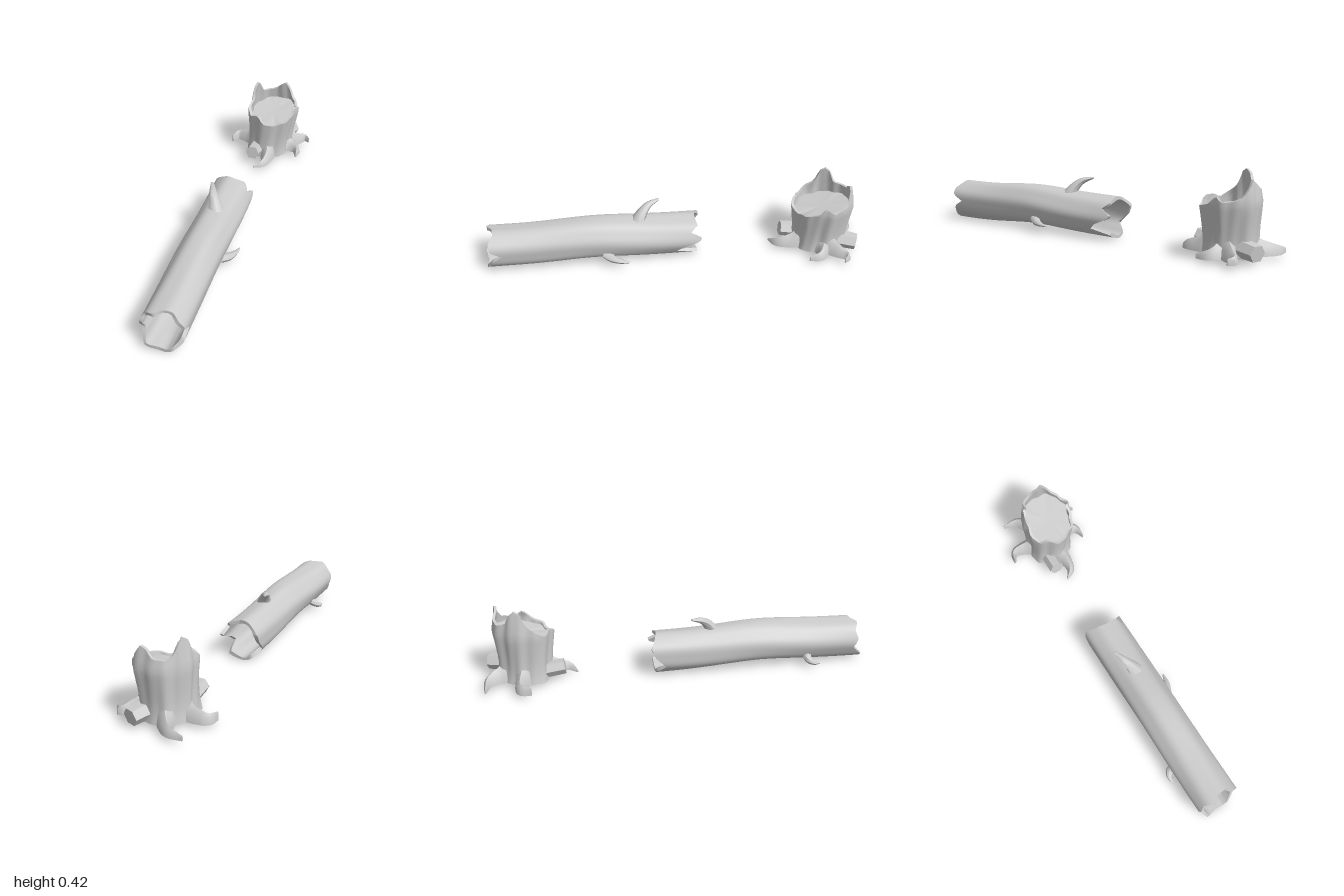
import * as THREE from 'three';
import { toCreasedNormals } from 'three/addons/utils/BufferGeometryUtils.js';

const TAU = Math.PI * 2;
const GROUND = 0.02;
const material = new THREE.MeshStandardMaterial({ color: 0xcccccc, side: THREE.DoubleSide });
const lerp = THREE.MathUtils.lerp;

function part(name, geometry, crease = 0.8) {
  const mesh = new THREE.Mesh(toCreasedNormals(geometry, crease), material);
  mesh.name = name;
  return mesh;
}

// Reads a wrapped [degrees, value] list at angle a (radians)
function around(list, a) {
  const d = ((a / TAU) * 360 + 360) % 360;
  let i = list.findIndex((p) => p[0] > d);
  if (i < 0) i = list.length;
  const p = i > 0 ? list[i - 1] : [list.at(-1)[0] - 360, list.at(-1)[1]];
  const q = i < list.length ? list[i] : [list[0][0] + 360, list[0][1]];
  return lerp(p[1], q[1], (d - p[0]) / (q[0] - p[0]));
}

// Reads an evenly spaced list at t in 0..1
function along(list, t) {
  const f = t * (list.length - 1);
  const i = Math.min(Math.floor(f), list.length - 2);
  return lerp(list[i], list[i + 1], f - i);
}

// Closed-around surface: one ring of points per row
function rings(sides, rows, point) {
  const pos = [], index = [];
  for (let r = 0; r < rows; r++)
    for (let s = 0; s < sides; s++) pos.push(...point((s / sides) * TAU, r));
  for (let r = 0; r < rows - 1; r++)
    for (let s = 0; s < sides; s++) {
      const n = (s + 1) % sides;
      const a = r * sides + s, b = r * sides + n, c = a + sides, d = b + sides;
      index.push(a, c, b, b, c, d);
    }
  const g = new THREE.BufferGeometry();
  g.setAttribute('position', new THREE.Float32BufferAttribute(pos, 3));
  g.setIndex(index);
  return g;
}

// Tapered limb along a curve with separate widths and heights and a closed end
function limb(points, widths, heights, { sides = 8, floor = 0, seg = 12 } = {}) {
  const curve = new THREE.CatmullRomCurve3(points.map((p) => new THREE.Vector3(...p)));
  const frames = curve.computeFrenetFrames(seg, false);
  const up = new THREE.Vector3(0, 1, 0);
  return rings(sides, seg + 2, (a, r) => {
    const k = Math.min(r, seg), t = k / seg;
    const c = curve.getPointAt(t);
    const side = new THREE.Vector3().crossVectors(frames.tangents[k], up).normalize();
    const rise = new THREE.Vector3().crossVectors(side, frames.tangents[k]);
    const size = r > seg ? 0 : 1;
    c.addScaledVector(side, -Math.cos(a) * along(widths, t) * size);
    c.addScaledVector(rise, Math.sin(a) * along(heights, t) * size);
    return [c.x, Math.max(c.y, floor), c.z];
  });
}

// Hollow log: outer wall, broken ends and inner wall in one closed loop
function hollowLog() {
  const front = [[0, 0.9], [18, 0.96], [40, 0.965], [65, 0.94], [90, 0.945], [112, 0.975],
    [140, 0.95], [165, 0.965], [190, 0.94], [225, 0.995], [265, 0.98], [300, 0.985], [325, 0.965], [345, 0.95]];
  const back = [[5, -0.13], [14, -0.14], [30, -0.08], [50, -0.12], [85, -0.11], [115, -0.12],
    [148, -0.145], [175, -0.125], [205, -0.07], [235, -0.115], [275, -0.12], [310, -0.12], [328, -0.01], [345, -0.04]];
  const n = 18;
  return rings(56, 2 * n + 3, (a, r) => {
    const inner = r > n && r < 2 * n + 2;
    const v = r <= n ? r / n : inner ? (2 * n + 1 - r) / n : 0;
    const z = lerp(around(front, a), around(back, a), v);
    const bump = Math.exp(-(((z - 0.43) / 0.24) ** 2));
    const wave = 0.0025 * Math.cos(3 * a + 5 * z) + 0.002 * Math.cos(7 * a - 3 * z);
    const rad = 0.109 + wave - (inner ? 0.017 + 0.003 * Math.cos(5 * a + 9 * z) : 0);
    return [-0.037 + 1.01 * rad * Math.cos(a), 0.112 + 0.018 * bump + rad * Math.sin(a), z];
  });
}

// Stump: base, fluted wall, splintered rim, inner wall and tilted cut face
function stumpBody() {
  const rim = [[0, 0.31], [8, 0.305], [20, 0.275], [40, 0.262], [70, 0.242], [95, 0.25], [108, 0.285],
    [122, 0.29], [135, 0.27], [152, 0.3], [172, 0.34], [186, 0.405], [198, 0.42], [210, 0.4], [224, 0.345],
    [240, 0.335], [262, 0.342], [276, 0.375], [288, 0.392], [299, 0.35], [310, 0.31], [335, 0.29], [350, 0.29]];
  const n = 12;
  const wall = (a, y, inset) => {
    const t = (y - GROUND) / 0.26;
    const low = Math.max(0, 1 - t);
    const r = 0.113 + 0.035 * Math.min(t, 1) - 0.04 * Math.max(0, t - 1) + 0.022 * low ** 4
      + 0.01 * Math.cos(2 * (a + 1.25)) + 0.005 * Math.cos(7 * a + 1)
      + 0.0035 * Math.cos(13 * a + 2 * t) - inset;
    return [0.018 * Math.min(t, 1) + r * Math.cos(a), y, -0.787 + r * Math.sin(a)];
  };
  const cut = (a) => 0.26 - 0.17 * 0.13 * Math.sin(a);
  return rings(60, n + 9, (a, r) => {
    const top = around(rim, a);
    if (r === 0) return [0, GROUND, -0.787];
    if (r <= n + 1) return wall(a, lerp(GROUND, top, (r - 1) / n), 0);
    if (r <= n + 5) {
      const floor = Math.min(cut(a), top - 0.008);
      return wall(a, lerp(top, floor, (r - n - 2) / 3), 0.014);
    }
    const k = (n + 8 - r) / 3;
    const edge = wall(a, cut(a), 0.014);
    return [lerp(0.018, edge[0], k), lerp(0.256, Math.min(cut(a), top - 0.008), k), lerp(-0.787, edge[2], k)];
  });
}

export function createModel() {
  const model = new THREE.Group();
  model.name = 'logAndStump';

  // Fallen log with three broken twigs
  const log = new THREE.Group();
  log.name = 'fallenLog';
  log.add(part('hollowTrunk', hollowLog()));
  log.add(part('topBranch', limb(
    [[-0.03, 0.2, 0.19], [-0.045, 0.245, 0.165], [-0.065, 0.28, 0.13], [-0.088, 0.3, 0.07]],
    [0.045, 0.03, 0.019, 0.007], [0.038, 0.026, 0.016, 0.005])));
  log.add(part('leftTwig', limb(
    [[0.045, 0.066, 0.365], [0.075, 0.055, 0.335], [0.1, 0.05, 0.29], [0.11, 0.046, 0.242]],
    [0.03, 0.022, 0.014, 0.004], [0.022, 0.02, 0.012, 0.003])));
  log.add(part('rightTwig', limb(
    [[-0.115, 0.06, 0.69], [-0.145, 0.042, 0.695], [-0.163, 0.032, 0.715], [-0.165, 0.025, 0.752]],
    [0.025, 0.02, 0.014, 0.004], [0.024, 0.019, 0.013, 0.004])));
  model.add(log);

  // Broken stump
  const stump = new THREE.Group();
  stump.name = 'stump';
  stump.add(part('stumpBody', stumpBody()));

  // Hooked roots, given as x/z paths on the ground
  const roots = [
    { path: [[-0.07, -0.79], [-0.15, -0.815], [-0.205, -0.815], [-0.228, -0.765]], heights: [0.12, 0.075, 0.055, 0.042] },
    { path: [[-0.02, -0.86], [-0.06, -0.94], [-0.1, -0.98], [-0.172, -0.993]], heights: [0.12, 0.075, 0.05, 0.025] },
    { path: [[0.08, -0.81], [0.15, -0.865], [0.195, -0.905], [0.223, -0.882]], heights: [0.13, 0.08, 0.05, 0.03] },
    { path: [[0.07, -0.78], [0.13, -0.785], [0.172, -0.76], [0.182, -0.702]], heights: [0.12, 0.075, 0.045, 0.025] },
    { path: [[0.01, -0.7], [0.022, -0.63], [0.015, -0.56], [-0.03, -0.522]], heights: [0.12, 0.07, 0.045, 0.01] },
  ];
  roots.forEach(({ path, heights }, i) => stump.add(part('root' + (i + 1), limb(
    path.map(([x, z]) => [x, GROUND, z]), [0.055, 0.036, 0.021, 0.004], heights, { floor: GROUND }))));

  // Short sawn-off stubs
  stump.add(part('frontStub', limb([[-0.05, 0.062, -0.69], [-0.055, 0.078, -0.587]],
    [0.042, 0.04], [0.042, 0.04], { sides: 6, seg: 2 }), 0.3));
  stump.add(part('backStub', limb([[0.06, 0.07, -0.87], [0.1, 0.06, -0.972]],
    [0.052, 0.046], [0.048, 0.042], { sides: 6, seg: 2, floor: GROUND }), 0.3));
  model.add(stump);

  return model;
}
